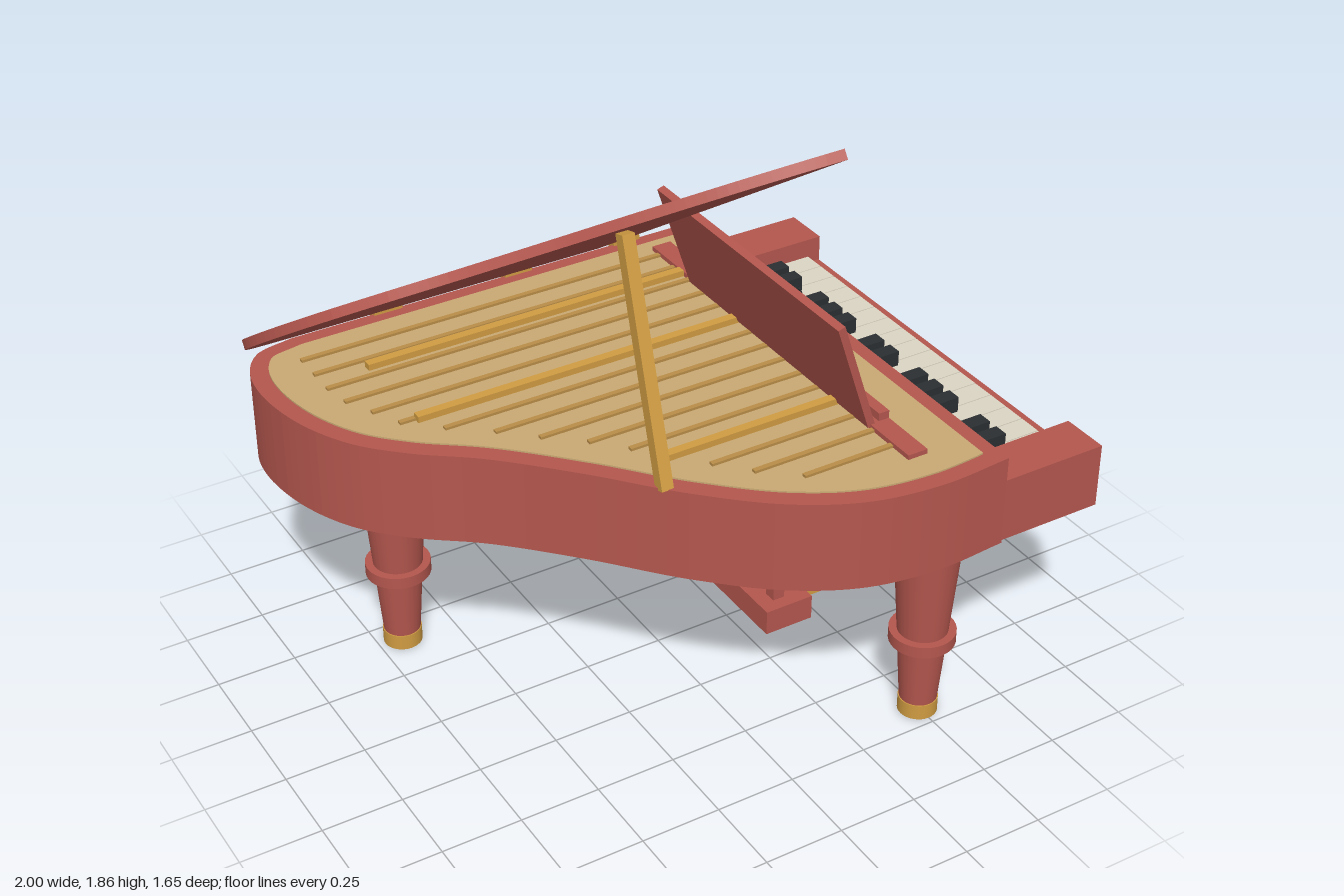
import * as THREE from 'three';

const mat = (name, color) => {
  const m = new THREE.MeshStandardMaterial({ color });
  m.name = name;
  return m;
};

export function createModel() {
  const red = mat('red lacquer', 0xb4574e);
  const gold = mat('brass', 0xd09c42);
  const tan = mat('soundboard wood', 0xc9a973);
  const stringTone = mat('string bronze', 0xb98d48);
  const cream = mat('ivory', 0xdcd5c4);
  const black = mat('ebony', 0x2b2f31);

  const model = new THREE.Group();
  model.name = 'grandPiano';

  const add = (name, geo, material, parent = model) => {
    const mesh = new THREE.Mesh(geo, material);
    mesh.name = name;
    parent.add(mesh);
    return mesh;
  };
  // Box given by its minimum and maximum along each axis
  const box = (name, material, x0, x1, y0, y1, z0, z1, parent = model) => {
    const mesh = add(name, new THREE.BoxGeometry(x1 - x0, y1 - y0, z1 - z0), material, parent);
    mesh.position.set((x0 + x1) / 2, (y0 + y1) / 2, (z0 + z1) / 2);
    return mesh;
  };
  // Horizontal slab from an outline of [x, z] points
  const slab = (points, y0, y1) => {
    const shape = new THREE.Shape(points.map(([x, z]) => new THREE.Vector2(x, -z)));
    const geo = new THREE.ExtrudeGeometry(shape, { depth: y1 - y0, bevelEnabled: false });
    return geo.rotateX(-Math.PI / 2).translate(0, y0, 0);
  };

  // Curved side of the case, from the tail corner round to the keyboard end
  const curve = new THREE.CatmullRomCurve3([
    [-0.8, -0.805], [-0.92, -0.775], [-0.98, -0.69], [-1, -0.56], [-0.97, -0.37],
    [-0.89, -0.2], [-0.77, -0.07], [-0.6, 0.065], [-0.4, 0.27], [-0.2, 0.5],
    [0, 0.68], [0.2, 0.785], [0.42, 0.822], [0.65, 0.81],
  ].map(([x, z]) => new THREE.Vector3(x, 0, z)), false, 'centripetal');
  const N = 90, edge = [], inner = [];
  for (let i = 0; i <= N; i++) {
    const p = curve.getPointAt(i / N), t = curve.getTangentAt(i / N);
    edge.push([p.x, p.z]);
    inner.push([p.x + t.z * 0.055, p.z - t.x * 0.055]);
  }

  // Case and soundboard
  add('case', slab([[0.65, -0.805], ...edge], 0.635, 0.925), red);
  const board = inner.filter(([x]) => x < 0.59);
  add('soundboard', slab([[0.6, -0.755], ...board, [0.6, 0.757]], 0.924, 0.93), tan);

  // Strings and thicker frame ribs, each starting at the curved side
  const startX = (z) => {
    const i = inner.findIndex((p, k) => k > N * 0.15 && p[1] >= z);
    return Math.max(inner[i][0], -0.93) + 0.1;
  };
  for (let i = 0; i < 15; i++) {
    const z = -0.66 + i * 0.09;
    box('string', stringTone, startX(z), 0.4, 0.929, 0.938, z - 0.008, z + 0.008);
  }
  for (const [x, z] of [[-0.68, -0.525], [-0.68, -0.2], [-0.18, 0.33]]) {
    box('frameRib', gold, x, 0.4, 0.929, 0.95, z - 0.014, z + 0.014);
  }

  // Raised lid, hinged along the straight side
  const lid = new THREE.Group();
  lid.name = 'lid';
  lid.position.set(0, 0.927, -0.805);
  lid.rotation.x = -0.597;
  model.add(lid);
  const lidEdge = edge.filter(([x]) => x < 0.25).map(([x, z]) => [x, z + 0.805]);
  add('lidPanel', slab([[0.26, 0], ...lidEdge, [0.26, 1.608]], 0, 0.03), red, lid);
  for (const x of [0.36, -0.03, -0.48]) {
    box('hinge', gold, x - 0.047, x + 0.047, 0.9, 0.953, -0.828, -0.795);
  }

  // Lid prop
  const prop = add('lidProp', new THREE.BoxGeometry(0.038, 0.73, 0.038), gold);
  prop.position.set(-0.242, 1.268, 0.335);
  prop.rotation.x = -0.285;

  // Music shelf, lip and tilted desk
  box('musicShelf', red, 0.4, 0.465, 0.925, 0.945, -0.7, 0.68);
  box('deskLip', red, 0.43, 0.465, 0.94, 0.97, -0.46, 0.495);
  const desk = new THREE.Group();
  desk.name = 'musicDesk';
  desk.position.set(0.403, 0.94, 0.018);
  desk.rotation.z = 0.32;
  model.add(desk);
  box('deskPanel', red, -0.012, 0.012, 0, 0.374, -0.48, 0.48, desk);
  const up = (y) => (y - 0.94) / Math.cos(0.32);
  for (const s of [-1, 1]) {
    const c = s * 0.183;
    box('page', cream, 0.011, 0.018, up(0.985), up(1.275), c - 0.181, c + 0.181, desk);
    for (let i = 0; i < 5; i++) {
      const y = up(1.05 + i * 0.043);
      box('staffLine', tan, 0.017, 0.02, y - 0.004, y + 0.004, c - 0.14, c + 0.14, desk);
    }
  }
  for (const [z, y] of [[0.27, 1.14], [0.23, 1.225], [0.187, 1.158], [-0.177, 1.138], [-0.222, 1.158]]) {
    const head = add('noteHead', new THREE.CylinderGeometry(0.018, 0.018, 0.006, 16), black, desk);
    head.rotation.z = Math.PI / 2;
    head.position.set(0.02, up(y), z - 0.018);
  }
  for (const [z, y] of [[0.33, 1.205], [0.26, 1.225], [0.153, 1.18], [0.113, 1.115],
    [-0.034, 1.185], [-0.123, 1.207], [-0.158, 1.15], [-0.25, 1.095]]) {
    const c = z - 0.018;
    box('noteStem', black, 0.017, 0.022, up(y), up(y + 0.068), c - 0.004, c + 0.004, desk);
  }

  // Keyboard: arms, key bed, keys and name plate
  box('leftArm', red, 0.645, 1, 0.635, 0.84, 0.648, 0.8);
  box('rightArm', red, 0.645, 1, 0.635, 0.84, -0.79, -0.637);
  box('keyBed', red, 0.645, 0.998, 0.635, 0.755, -0.64, 0.65);
  const pitch = 1.284 / 17;
  for (let i = 0; i < 17; i++) {
    const z = -0.637 + i * pitch;
    box('whiteKey', cream, 0.65, 0.955, 0.75, 0.778, z + 0.0015, z + pitch - 0.0015);
  }
  for (const k of [1, 2, 4, 5, 6, 8, 9, 11, 12, 13, 15, 16]) {
    const z = -0.637 + k * pitch;
    box('blackKey', black, 0.652, 0.815, 0.776, 0.828, z - 0.023, z + 0.023);
  }
  box('fasciaPlate', gold, 0.648, 0.656, 0.85, 0.87, -0.1, 0.12);

  // Three turned legs
  const turned = (name, rTop, rBottom, y0, y1, material, parent) => {
    const geo = new THREE.CylinderGeometry(rTop, rBottom, y1 - y0, 32);
    add(name, geo, material, parent).position.y = (y0 + y1) / 2;
  };
  for (const [name, x, z] of [['leftLeg', 0.5, 0.67], ['rightLeg', 0.5, -0.65], ['tailLeg', -0.67, -0.42]]) {
    const leg = new THREE.Group();
    leg.name = name;
    leg.position.set(x, 0, z);
    model.add(leg);
    turned('legCollar', 0.108, 0.108, 0.6, 0.636, gold, leg);
    turned('legShaft', 0.099, 0.057, 0.05, 0.6, red, leg);
    turned('legRing', 0.1, 0.1, 0.262, 0.3, red, leg);
    turned('legFoot', 0.06, 0.06, 0, 0.05, gold, leg);
  }

  // Pedal lyre
  for (const z of [0.143, -0.08]) box('lyrePost', red, 0.315, 0.355, 0.13, 0.64, z - 0.02, z + 0.02);
  box('pedalBox', red, 0.265, 0.43, 0.055, 0.138, -0.153, 0.205);
  for (const z of [0.124, 0.02, -0.084]) {
    box('pedal', gold, 0.42, 0.585, 0.09, 0.113, z - 0.022, z + 0.022);
  }
  return model;
}
